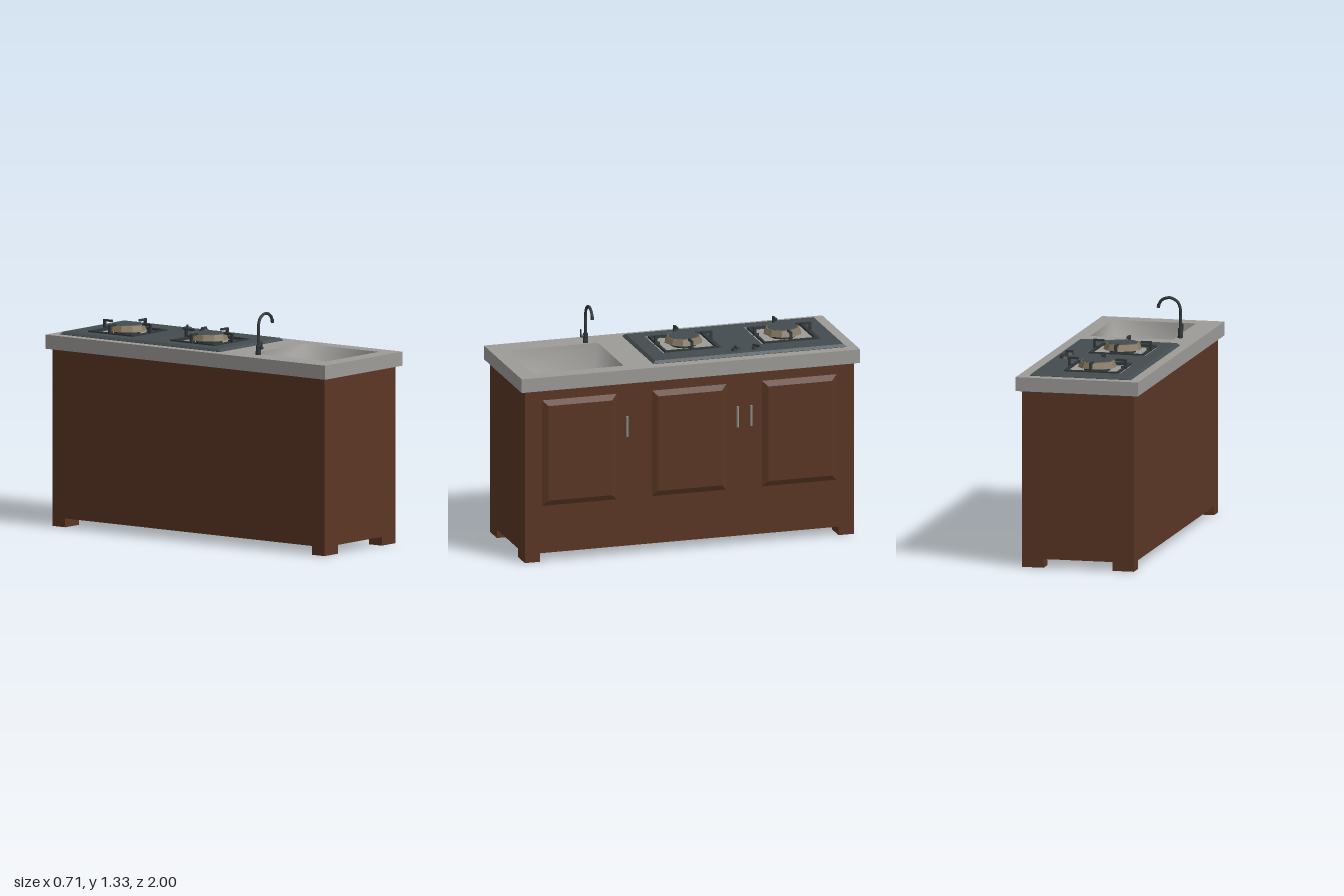
import * as THREE from 'three';
import { mergeVertices } from 'three/addons/utils/BufferGeometryUtils.js';

const material = (name, color, extra = {}) => {
  const m = new THREE.MeshStandardMaterial({ color, ...extra });
  m.name = name;
  return m;
};

// Shape or path around a rectangle on the ground plane
const rect = (Type, x0, x1, z0, z1) => {
  const p = new Type();
  p.moveTo(x0, -z1);
  p.lineTo(x1, -z1);
  p.lineTo(x1, -z0);
  p.lineTo(x0, -z0);
  p.closePath();
  return p;
};

// Four sloping sides from an outer rectangle to an inset one, closed by a flat face
function slopedTray(x0, x1, z0, z1, inset, yOuter, yInner, smooth) {
  const ring = (i, y) => [[x0 + i, y, z1 - i], [x1 - i, y, z1 - i], [x1 - i, y, z0 + i], [x0 + i, y, z0 + i]];
  const a = ring(0, yOuter), b = ring(inset, yInner), pos = [];
  for (let i = 0; i < 4; i++) {
    const j = (i + 1) % 4;
    pos.push(...a[i], ...a[j], ...b[j], ...a[i], ...b[j], ...b[i]);
  }
  pos.push(...b[0], ...b[1], ...b[2], ...b[0], ...b[2], ...b[3]);
  let g = new THREE.BufferGeometry();
  g.setAttribute('position', new THREE.Float32BufferAttribute(pos, 3));
  if (smooth) g = mergeVertices(g);
  g.computeVertexNormals();
  return g;
}

export function createModel() {
  const wood = material('brown wood', 0x5a3624);
  const stone = material('grey stone', 0x9d9b98);
  const basin = material('grey basin', 0x9f9d9a, { side: THREE.DoubleSide });
  const slate = material('dark slate', 0x444c4f);
  const iron = material('dark iron', 0x33393b, { flatShading: true });
  const brass = material('dull brass', 0x85775f, { flatShading: true });
  const steel = material('steel', 0x8f9293);

  const root = new THREE.Group();
  root.name = 'kitchenCounter';
  const add = (name, geo, mat, x = 0, y = 0, z = 0, parent = root) => {
    const m = new THREE.Mesh(geo, mat);
    m.name = name;
    m.position.set(x, y, z);
    parent.add(m);
    return m;
  };
  const box = (name, mat, w, h, d, x, y, z, parent) =>
    add(name, new THREE.BoxGeometry(w, h, d), mat, x, y, z, parent);

  // Cabinet, open at the top to hold the basin
  const body = new THREE.BoxGeometry(0.65, 0.96, 1.944);
  body.setIndex([...body.index.array].filter((_, i) => i < 12 || i >= 18));
  body.clearGroups();
  add('cabinet', body, wood, 0, 0.53, 0);
  for (const sx of [-1, 1]) for (const sz of [-1, 1])
    box('foot', wood, 0.125, 0.05, 0.09, sx * 0.2625, 0.025, sz * 0.927);

  // Raised door panels and their handles
  for (const z of [0.65, 0, -0.65]) {
    const panel = add('doorPanel', slopedTray(-0.31, 0.31, -0.22, 0.22, 0.032, 0, 0.017), wood, 0.325, 0.637, z);
    panel.rotation.z = -Math.PI / 2;
  }
  for (const z of [0.37, -0.283, -0.363]) {
    const handle = add('handle', new THREE.CylinderGeometry(0.007, 0.007, 0.12, 8), steel, 0.336, 0.752, z);
    for (const s of [-1, 1]) box('handleMount', steel, 0.012, 0.01, 0.01, -0.006, s * 0.05, 0, handle);
  }

  // Worktop with the sink opening
  const top = rect(THREE.Shape, -0.355, 0.355, -1, 1);
  top.holes.push(rect(THREE.Path, -0.215, 0.265, 0.37, 0.9));
  const topGeo = new THREE.ExtrudeGeometry(top, { depth: 0.08, bevelEnabled: false });
  topGeo.rotateX(-Math.PI / 2);
  add('worktop', topGeo, stone, 0, 1.01, 0);
  add('sinkBasin', slopedTray(-0.215, 0.265, 0.37, 0.9, 0.036, 1.09, 0.93, true), basin);

  // Hob plate with bevelled edges and a square well for each burner
  const burnerX = -0.035, burnerZ = [-0.663, -0.078];
  const plate = rect(THREE.Shape, -0.284, 0.274, -0.926, 0.186);
  for (const z of burnerZ)
    plate.holes.push(rect(THREE.Path, burnerX - 0.175, burnerX + 0.175, z - 0.175, z + 0.175));
  const plateGeo = new THREE.ExtrudeGeometry(plate, {
    depth: 0.002, bevelSize: 0.014, bevelThickness: 0.014, bevelSegments: 1,
  });
  plateGeo.rotateX(-Math.PI / 2);
  add('hobPlate', plateGeo, slate, 0, 1.076 + 0.014, 0).position.y = 1.09;

  // Burners with pan supports
  for (const z of burnerZ) {
    const burner = new THREE.Group();
    burner.name = 'burner';
    burner.position.set(burnerX, 1.09, z);
    root.add(burner);
    add('burnerBase', new THREE.CylinderGeometry(0.075, 0.075, 0.022, 10), iron, 0, 0.011, 0, burner);
    add('burnerRing', new THREE.CylinderGeometry(0.095, 0.11, 0.034, 10), brass, 0, 0.037, 0, burner);
    add('burnerCap', new THREE.CylinderGeometry(0.085, 0.09, 0.005, 10), slate, 0, 0.0555, 0, burner);
    for (let i = 0; i < 4; i++) {
      const side = new THREE.Group();
      side.name = 'panSupport';
      side.rotation.y = i * Math.PI / 2;
      burner.add(side);
      box('frameBar', iron, 0.012, 0.014, 0.316, 0.152, 0.014, 0, side);
      box('supportFoot', iron, 0.03, 0.014, 0.014, 0.155, 0.021, 0, side);
      box('supportPost', iron, 0.014, 0.052, 0.014, 0.163, 0.04, 0, side);
      box('supportArm', iron, 0.062, 0.012, 0.012, 0.139, 0.062, 0, side);
    }
  }

  // Control knobs
  for (const [z, turn] of [[-0.43, 0.6], [-0.31, 0]]) {
    const knob = add('knob', new THREE.CylinderGeometry(0.023, 0.03, 0.014, 8), iron, 0.215, 1.112, z);
    box('knobGrip', iron, 0.044, 0.012, 0.01, 0, 0.012, 0, knob).rotation.y = turn;
  }

  // Tap with swan neck and side lever
  const tap = new THREE.Group();
  tap.name = 'tap';
  tap.position.set(-0.242, 1.09, 0.435);
  root.add(tap);
  const neck = new THREE.CatmullRomCurve3([
    [0, 0.03], [0, 0.1], [0, 0.165], [0.016, 0.205], [0.055, 0.227],
    [0.097, 0.22], [0.12, 0.198], [0.127, 0.175],
  ].map(([x, y]) => new THREE.Vector3(x, y, 0)));
  add('tapNeck', new THREE.TubeGeometry(neck, 24, 0.0085, 8), iron, 0, 0, 0, tap);
  add('tapSpout', new THREE.CylinderGeometry(0.0095, 0.0095, 0.02, 8), iron, 0.127, 0.178, 0, tap).rotation.z = 0.2;
  add('tapBase', new THREE.CylinderGeometry(0.014, 0.016, 0.055, 8), iron, 0, 0.0275, 0, tap);
  const hub = add('leverHub', new THREE.CylinderGeometry(0.009, 0.009, 0.03, 8), iron, 0, 0.04, 0.015, tap);
  hub.rotation.x = Math.PI / 2;
  box('lever', iron, 0.008, 0.04, 0.006, -0.006, 0.058, 0.027, tap);

  return root;
}
